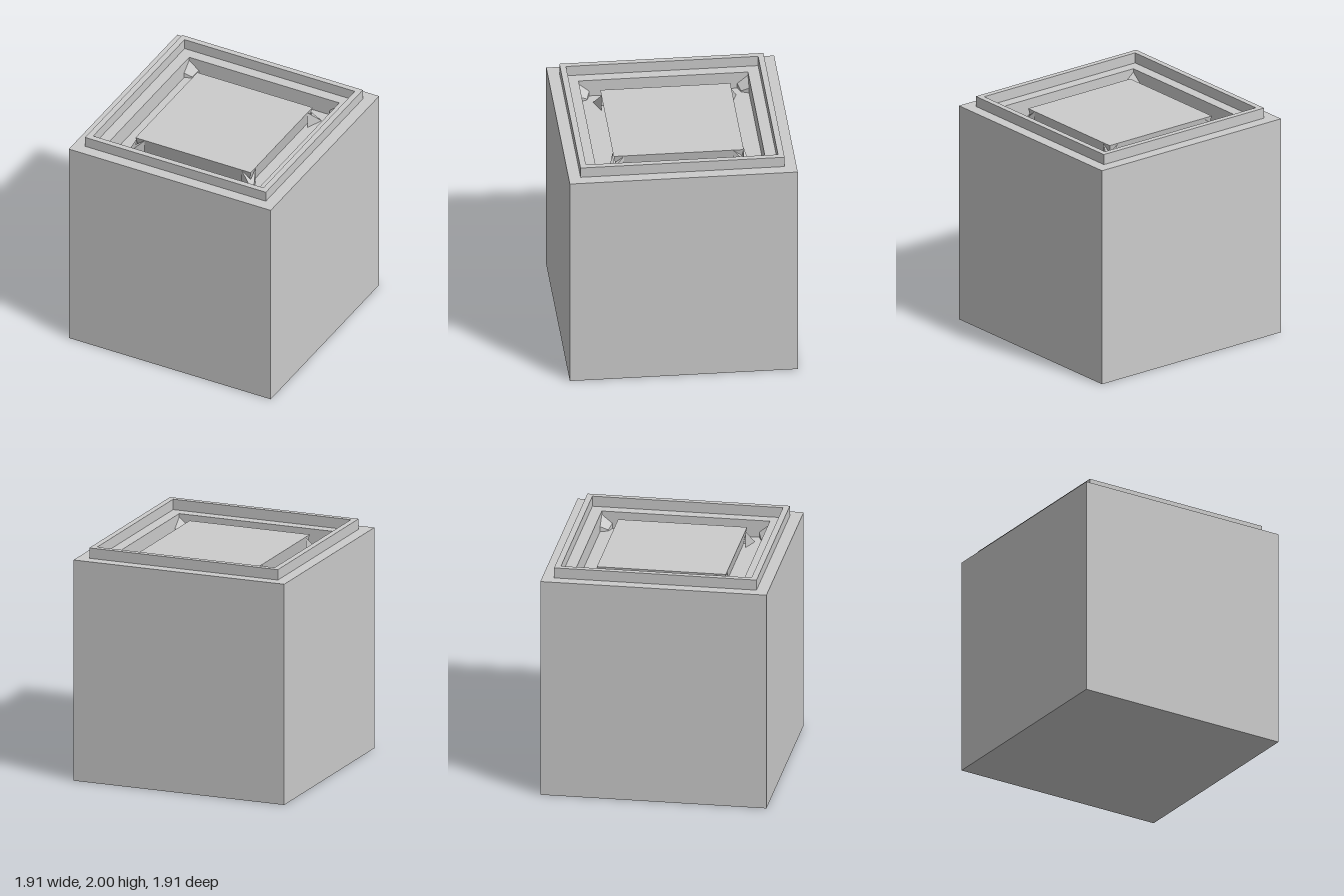
import * as THREE from 'three';

const FLOOR = 1.76; // bottom of the channel
const TOP = 1.91;   // top of the body

// Square solid of revolution: a profile of [half width, height] swept round four sides
function squareLathe(name, profile, material) {
  const points = profile.map(([r, y]) => new THREE.Vector2(r * Math.SQRT2, y));
  const geometry = new THREE.LatheGeometry(points, 4, Math.PI / 4).toNonIndexed();
  geometry.computeVertexNormals();
  const mesh = new THREE.Mesh(geometry, material);
  mesh.name = name;
  return mesh;
}

// Corner wedge: four [x, top height, z] points, anticlockwise from above, with sides to the floor
function wedgeGeometry(top) {
  const base = top.map(([x, , z]) => [x, FLOOR, z]);
  const faces = [top[0], top[1], top[2], top[0], top[2], top[3]];
  for (let i = 0; i < 4; i++) {
    const j = (i + 1) % 4;
    faces.push(base[i], base[j], top[j], base[i], top[j], top[i]);
  }
  const geometry = new THREE.BufferGeometry();
  geometry.setAttribute('position', new THREE.Float32BufferAttribute(faces.flat(), 3));
  geometry.computeVertexNormals();
  return geometry;
}

export function createModel() {
  const model = new THREE.Group();
  model.name = 'rimmedCube';
  const material = new THREE.MeshStandardMaterial({ color: 0xcccccc, flatShading: true });

  // Cube body with a raised square rim, an inner ledge and a sunken channel
  model.add(squareLathe('body', [
    [0, 0], [0.955, 0], [0.955, TOP], [0.855, TOP], [0.855, 2], [0.805, 2],
    [0.805, TOP], [0.71, TOP], [0.71, FLOOR], [0, FLOOR],
  ], material));

  // Centre block, slightly undercut
  model.add(squareLathe('centreBlock', [[0.515, FLOOR], [0.545, TOP], [0, TOP]], material));

  // Sloped wedges in the corners of the channel
  const outer = wedgeGeometry([
    [0.71, 1.88, 0.71], [0.71, 1.805, 0.62], [0.645, 1.77, 0.645], [0.62, 1.805, 0.71],
  ]);
  const inner = wedgeGeometry([
    [0.545, 1.842, 0.545], [0.46, 1.905, 0.545], [0.6, 1.762, 0.6], [0.545, 1.905, 0.46],
  ]);
  for (let i = 0; i < 4; i++) {
    const corner = new THREE.Group();
    corner.name = 'cornerWedges' + (i + 1);
    const outerWedge = new THREE.Mesh(outer, material);
    outerWedge.name = 'outerWedge';
    const innerWedge = new THREE.Mesh(inner, material);
    innerWedge.name = 'innerWedge';
    corner.add(outerWedge, innerWedge);
    corner.rotation.y = (i * Math.PI) / 2;
    model.add(corner);
  }
  return model;
}
